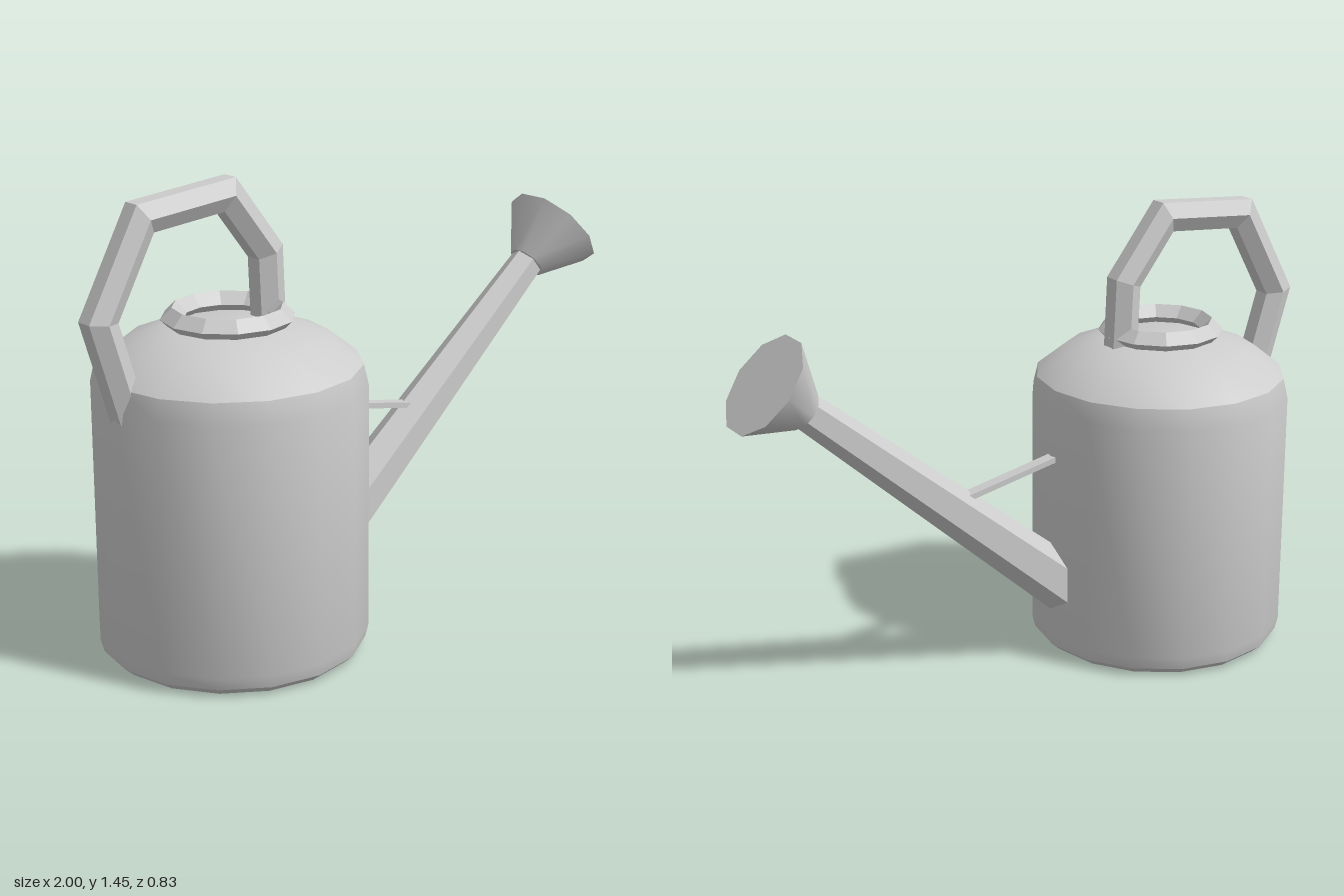
import * as THREE from 'three';
import { toCreasedNormals } from 'three/addons/utils/BufferGeometryUtils.js';

const metal = new THREE.MeshStandardMaterial({ color: 0xcccccc });
metal.name = 'grey metal';

function add(group, name, geometry) {
  const mesh = new THREE.Mesh(geometry, metal);
  mesh.name = name;
  group.add(mesh);
  return mesh;
}

// Flat-faced copy of a geometry
function faceted(geometry) {
  const g = geometry.index ? geometry.toNonIndexed() : geometry;
  g.computeVertexNormals();
  return g;
}

// Place a y-axis geometry between two points in the xy plane
function between(mesh, a, b) {
  mesh.position.set((a[0] + b[0]) / 2, (a[1] + b[1]) / 2, 0);
  mesh.rotation.z = Math.atan2(b[1] - a[1], b[0] - a[0]) - Math.PI / 2;
}
const dist = (a, b) => Math.hypot(b[0] - a[0], b[1] - a[1]);

// Hexagonal bar with mitred corners along a path in the xy plane
function mitredBar(path, radius) {
  const pts = path.map(p => new THREE.Vector2(...p));
  const sides = 6, pos = [], idx = [];
  pts.forEach((p, i) => {
    const d0 = p.clone().sub(pts[Math.max(i - 1, 0)]).normalize();
    const d1 = pts[Math.min(i + 1, pts.length - 1)].clone().sub(p).normalize();
    const t = d0.clone().add(d1).normalize();
    const ref = i ? d0 : d1;
    const stretch = 1 / t.dot(ref);
    for (let k = 0; k < sides; k++) {
      const a = k / sides * Math.PI * 2;
      const n = radius * Math.sin(a) * stretch;
      pos.push(p.x - t.y * n, p.y + t.x * n, radius * Math.cos(a));
    }
  });
  for (let i = 0; i < pts.length - 1; i++) {
    for (let k = 0; k < sides; k++) {
      const a = i * sides + k, b = i * sides + (k + 1) % sides;
      idx.push(a, a + sides, b, b, a + sides, b + sides);
    }
  }
  // End caps
  const last = (pts.length - 1) * sides;
  for (let k = 1; k < sides - 1; k++) {
    idx.push(0, k, k + 1, last, last + k + 1, last + k);
  }
  const g = new THREE.BufferGeometry();
  g.setAttribute('position', new THREE.Float32BufferAttribute(pos, 3));
  g.setIndex(idx);
  return faceted(g);
}

export function createModel() {
  const group = new THREE.Group();
  group.name = 'wateringCan';
  const bodyX = -0.49;

  // Tank with bevelled foot and rounded shoulder
  const profile = [
    [0, 0], [0.375, 0], [0.405, 0.025], [0.415, 0.065], [0.415, 0.83],
    [0.4, 0.895], [0.31, 0.967], [0.18, 1.013], [0, 1.015],
  ].map(p => new THREE.Vector2(...p));
  const body = add(group, 'body', toCreasedNormals(new THREE.LatheGeometry(profile, 16), 0.62));
  body.position.x = bodyX;

  // Rim around the filling opening
  const rim = add(group, 'rim', faceted(new THREE.TorusGeometry(0.165, 0.035, 4, 12)));
  rim.rotation.x = -Math.PI / 2;
  rim.position.set(bodyX, 1.035, 0);

  // Arched handle
  add(group, 'handle', mitredBar([
    [-0.843, 0.76], [-0.947, 1.1], [-0.795, 1.377], [-0.493, 1.403],
    [-0.345, 1.21], [-0.335, 0.96],
  ], 0.053));

  // Tapered spout
  const s0 = [-0.16, 0.203], s1 = [0.79, 1.002];
  const spout = add(group, 'spout', faceted(
    new THREE.CylinderGeometry(0.055, 0.092, dist(s0, s1), 6, 1, false, Math.PI / 6)));
  between(spout, s0, s1);

  // Flared sprinkler rose
  const r0 = [0.777, 0.987], r1 = [0.9, 1.087];
  const rose = add(group, 'rose', toCreasedNormals(
    new THREE.CylinderGeometry(0.165, 0.063, dist(r0, r1), 10), 0.75));
  between(rose, r0, r1);

  // Brace between tank and spout
  const b0 = [-0.14, 0.686], b1 = [0.27, 0.602];
  const brace = add(group, 'brace', new THREE.BoxGeometry(0.018, dist(b0, b1), 0.04));
  between(brace, b0, b1);

  return group;
}
